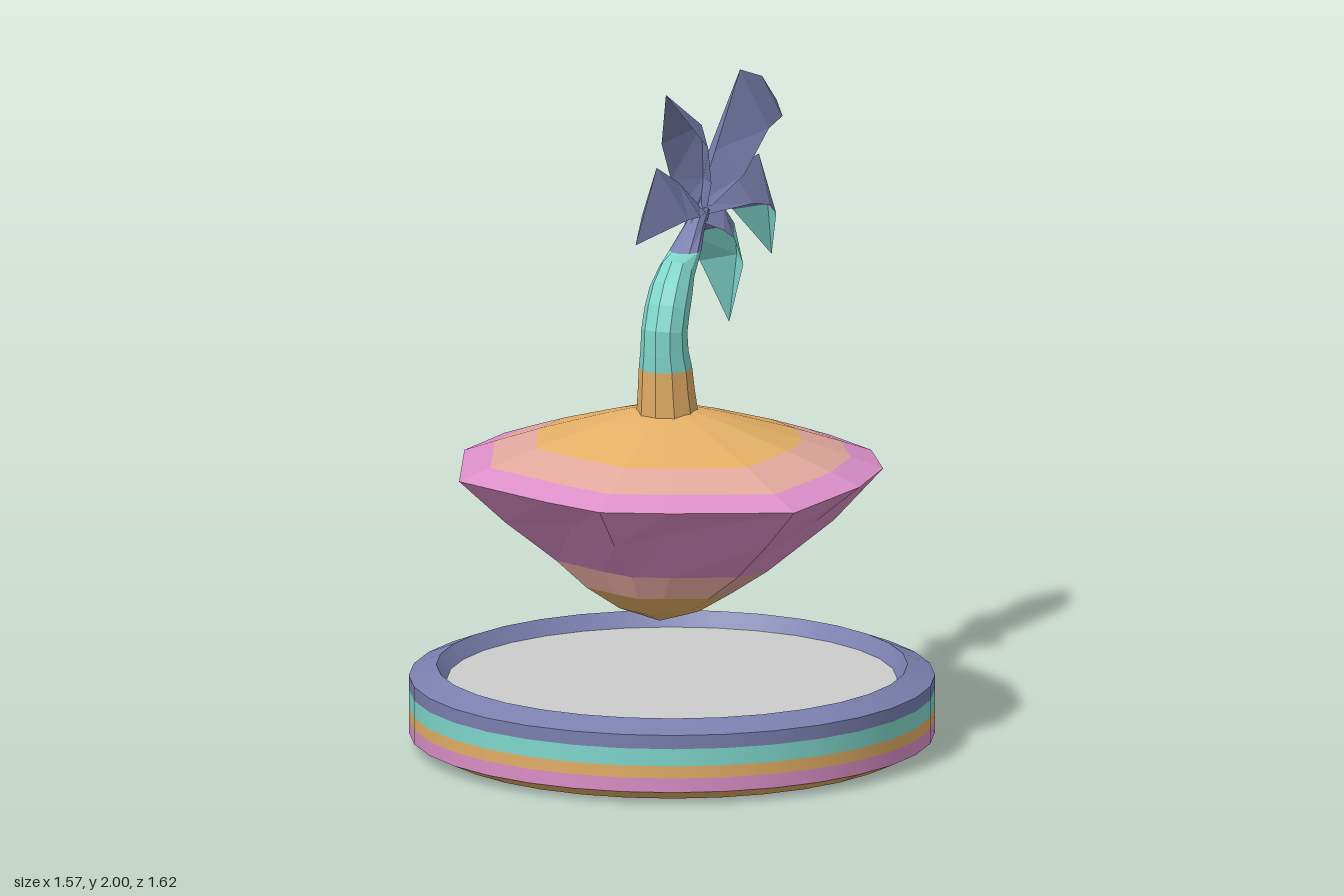
import * as THREE from 'three';

const mat = (name, color, side = THREE.FrontSide) => {
  const m = new THREE.MeshStandardMaterial({ color, side });
  m.name = name;
  return m;
};

// Flat-faceted skin through rings of points, one material per band between rings
function loft(name, rings, mats, closed = true) {
  const group = new THREE.Group();
  group.name = name;
  const byMat = new Map();
  for (let k = 0; k < rings.length - 1; k++) {
    const a = rings[k], b = rings[k + 1], n = a.length;
    if (!byMat.has(mats[k])) byMat.set(mats[k], []);
    const out = byMat.get(mats[k]);
    for (let i = 0; i < (closed ? n : n - 1); i++) {
      const j = (i + 1) % n;
      out.push(...a[i], ...a[j], ...b[j], ...a[i], ...b[j], ...b[i]);
    }
  }
  for (const [m, pos] of byMat) {
    const g = new THREE.BufferGeometry();
    g.setAttribute('position', new THREE.Float32BufferAttribute(pos, 3));
    g.computeVertexNormals();
    const mesh = new THREE.Mesh(g, m);
    mesh.name = `${name} ${m.name}`;
    group.add(mesh);
  }
  return group;
}

export function createModel() {
  const orange = mat('sandOrange', 0xe2ae65);
  const salmon = mat('salmon', 0xe0a79c);
  const pink = mat('pink', 0xda8ec6);
  const teal = mat('teal', 0x7fd6cb, THREE.DoubleSide);
  const blue = mat('slateBlue', 0x7a7fae, THREE.DoubleSide);
  const grey = mat('paleGrey', 0xcccccc);

  const model = new THREE.Group();
  model.name = 'floatingIsland';

  // Round striped base with a shallow tray
  const base = new THREE.Group();
  base.name = 'base';
  base.position.z = 0.022;
  const stripes = [
    ['underside', orange, 0, 0, 0.705, 0],
    ['lowerChamfer', orange, 0.705, 0, 0.785, 0.037],
    ['pinkStripe', pink, 0.785, 0.037, 0.785, 0.08],
    ['orangeStripe', orange, 0.785, 0.08, 0.785, 0.117],
    ['tealStripe', teal, 0.785, 0.117, 0.785, 0.17],
    ['blueStripe', blue, 0.785, 0.17, 0.785, 0.212],
    ['upperChamfer', blue, 0.785, 0.212, 0.703, 0.245],
    ['innerWall', blue, 0.703, 0.245, 0.672, 0.2],
    ['trayFloor', grey, 0.672, 0.2, 0, 0.2],
  ];
  for (const [name, m, r0, y0, r1, y1] of stripes) {
    const pts = [new THREE.Vector2(r0, y0), new THREE.Vector2(r1, y1)];
    const mesh = new THREE.Mesh(new THREE.LatheGeometry(pts, 32), m);
    mesh.name = name;
    base.add(mesh);
  }
  model.add(base);

  // Island rim, front to back along the left, then mirrored
  const half = [
    [0, 0.835, 0.595], [0.2, 0.835, 0.53], [0.54, 0.835, 0.38], [0.637, 0.862, 0.1],
    [0.61, 0.862, -0.15], [0.48, 0.858, -0.375], [0.28, 0.85, -0.54], [0, 0.846, -0.592],
  ];
  const rim = [...half, ...half.slice(1, -1).reverse().map(([x, y, z]) => [-x, y, z])];

  // Rock rings: scale about the tip, height, and pull-in of the front face
  const rock = [[0, 0.4, 0], [0.2, 0.44, 0], [0.365, 0.505, 0], [0.54, 0.58, 0.04], [0.78, 0.72, 0.015]];
  const rockRings = rock.map(([s, y, dent], k) => rim.map(([x, , z], i) => {
    const bump = k === 4 ? (i % 2 ? 0.025 : -0.015) : 0;
    return [x * s, y + bump, 0.12 + (z - 0.12) * s - (z > 0.3 ? dent : 0)];
  }));
  // Ground rings: blend from the rim to the summit
  const groundRings = [0, 0.15, 0.37, 0.7, 1].map((t) => rim.map(([x, y, z]) => [
    x * (1 - t), y + (1.06 - y) * t + 0.012 * Math.sin(Math.PI * t), z + (0.06 - z) * t,
  ]));
  model.add(loft('island', [...rockRings, ...groundRings],
    [orange, orange, salmon, pink, pink, pink, salmon, orange, orange]));

  // Curved trunk: y, z, radius, material of the band above, optional level ring
  const path = [
    [1.03, 0.06, 0.092, orange], [1.1, 0.068, 0.085, orange], [1.165, 0.073, 0.08, teal, true],
    [1.22, 0.082, 0.072, teal], [1.28, 0.083, 0.069, teal], [1.34, 0.06, 0.068, teal],
    [1.39, 0.03, 0.065, teal], [1.44, -0.015, 0.055, teal], [1.49, -0.083, 0.048, blue, true],
    [1.54, -0.15, 0.032, blue], [1.59, -0.21, 0.027, blue], [1.6, -0.22, 0.001, blue],
  ];
  const trunkRings = path.map(([y, z, r, , level], k) => {
    const p = path[Math.max(k - 1, 0)], q = path[Math.min(k + 1, path.length - 1)];
    let ty = q[0] - p[0], tz = q[1] - p[1];
    if (level) { ty = 1; tz = 0; }
    const len = Math.hypot(ty, tz);
    return Array.from({ length: 10 }, (_, i) => {
      const a = (i / 10) * Math.PI * 2, c = r * Math.cos(a);
      return [r * Math.sin(a), y - (c * tz) / len, z + (c * ty) / len];
    });
  });
  model.add(loft('trunk', trunkRings, path.map((p) => p[3])));

  // Folded fronds: each section is ridge z, y, then edge z, y and half width
  const fronds = {
    frontFrond: [[
      [-0.2, 1.6, -0.17, 1.59, 0.03], [-0.03, 1.71, -0.03, 1.61, 0.07],
      [0.144, 1.793, 0.075, 1.625, 0.075], [0.31, 1.592, 0.31, 1.592, 0]], 9],
    uprightFrond: [[
      [-0.2, 1.59, -0.16, 1.61, 0.04], [-0.225, 1.68, -0.13, 1.69, 0.065],
      [-0.213, 1.846, -0.08, 1.81, 0.075], [0.07, 2, 0.07, 2, 0]], 9],
    highBackFrond: [[
      [-0.19, 1.61, -0.22, 1.6, 0.03], [-0.32, 1.745, -0.38, 1.665, 0.07],
      [-0.516, 1.95, -0.56, 1.767, 0.075], [-0.69, 1.892, -0.68, 1.778, 0.07],
      [-0.81, 1.79, -0.81, 1.788, 0]], 9],
    lowBackFrond: [[
      [-0.2, 1.605, -0.2, 1.58, 0.03], [-0.45, 1.655, -0.45, 1.56, 0.07],
      [-0.665, 1.66, -0.57, 1.53, 0.075], [-0.735, 1.49, -0.63, 1.49, 0.07],
      [-0.766, 1.33, -0.766, 1.33, 0]], 3],
    hangingFrond: [[
      [-0.19, 1.585, -0.16, 1.56, 0.03], [-0.39, 1.555, -0.23, 1.525, 0.065],
      [-0.47, 1.49, -0.285, 1.49, 0.075], [-0.489, 1.39, -0.37, 1.39, 0.07],
      [-0.43, 1.195, -0.43, 1.195, 0]], 2],
  };
  for (const [name, [sections, tealFrom]] of Object.entries(fronds)) {
    const rings = sections.map(([rz, ry, ez, ey, w]) => [[-w, ey, ez], [0, ry, rz], [w, ey, ez]]);
    model.add(loft(name, rings, sections.map((_, k) => (k < tealFrom ? blue : teal)), false));
  }
  return model;
}
